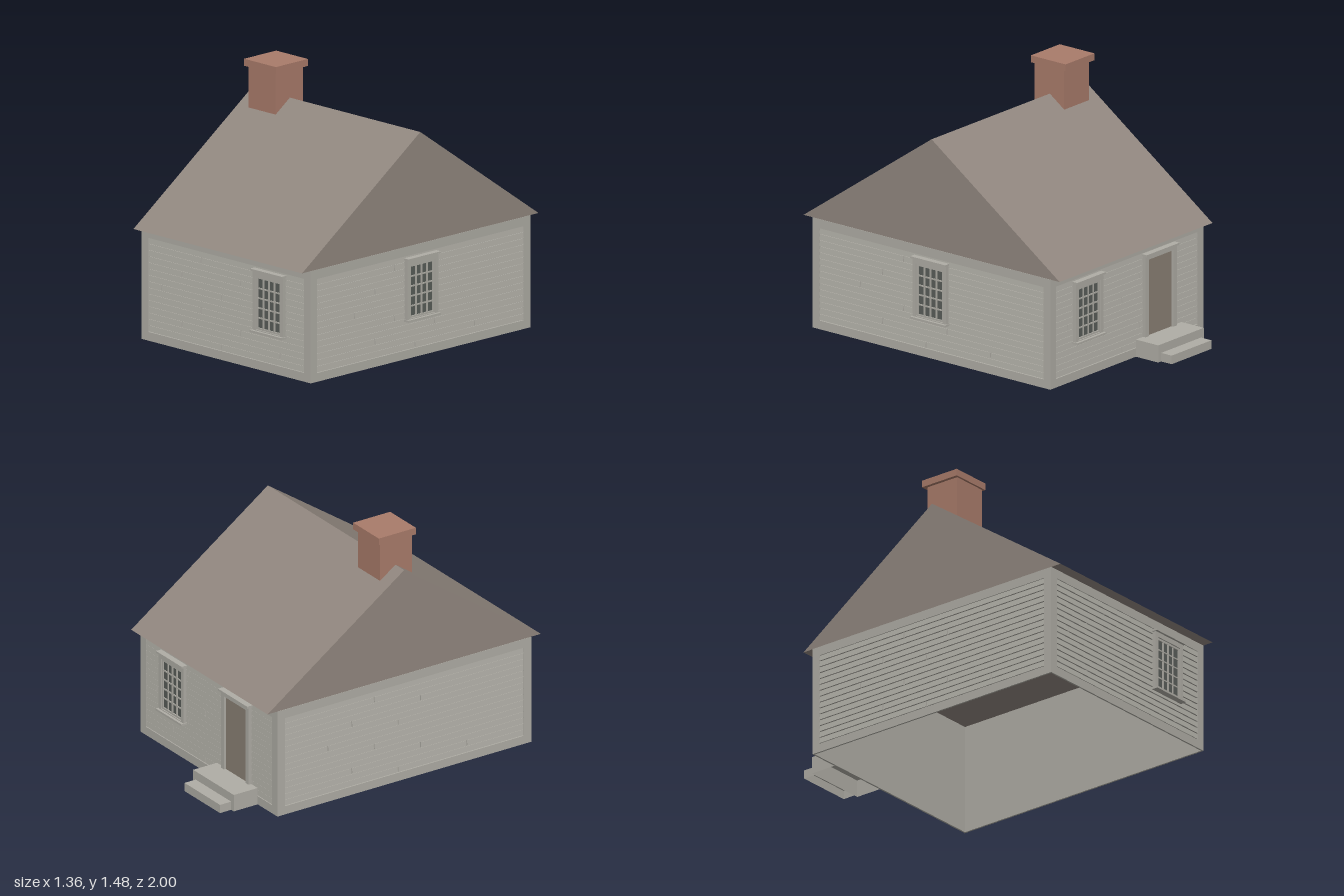
import * as THREE from 'three';

const mat = (name, color) => {
  const m = new THREE.MeshStandardMaterial({ color });
  m.name = name;
  return m;
};

export function createModel() {
  const paint = mat('greyPaint', 0xafada5);
  const shingle = mat('brownShingle', 0x91877f);
  const brick = mat('brick', 0xa97b6a);
  const glass = mat('darkGlass', 0x595d59);
  const doorWood = mat('doorWood', 0x8b8175);
  const paintInside = mat('greyPaintInside', 0xafada5);
  paintInside.side = THREE.DoubleSide;

  const house = new THREE.Group();
  house.name = 'house';
  const CX = -0.0125, CZ = 0.085, EAVE = 0.64;

  const add = (parent, name, geo, material) => {
    const mesh = new THREE.Mesh(geo, material);
    mesh.name = name;
    parent.add(mesh);
    return mesh;
  };
  // Box given by its limits on each axis
  const box = (parent, name, x0, x1, y0, y1, z0, z1, material) => {
    const geo = new THREE.BoxGeometry(x1 - x0, y1 - y0, z1 - z0);
    geo.translate((x0 + x1) / 2, (y0 + y1) / 2, (z0 + z1) / 2);
    return add(parent, name, geo, material);
  };
  // Leave out box sides by their group number (2 = top, 3 = bottom)
  const openBox = (mesh, sides) => {
    const idx = Array.from(mesh.geometry.index.array);
    mesh.geometry.setIndex(idx.filter((_, i) => !sides.includes(Math.floor(i / 6))));
    mesh.geometry.clearGroups();
  };
  const rect = (C, x0, x1, y0, y1) => new C([[x0, y0], [x1, y0], [x1, y1], [x0, y1]]
    .map(([x, y]) => new THREE.Vector2(x, y)));
  // Flat rectangular ring, o = outer limits, i = inner limits
  const ring = (o, i, depth) => {
    const s = rect(THREE.Shape, ...o);
    s.holes.push(rect(THREE.Path, ...i));
    return new THREE.ExtrudeGeometry(s, { depth, bevelEnabled: false });
  };
  // Extrude a [z, y] profile along x from x0 to x1
  const prism = (pts, x0, x1) => {
    const s = new THREE.Shape(pts.map(([z, y]) => new THREE.Vector2(-z, y)));
    return new THREE.ExtrudeGeometry(s, { depth: x1 - x0, bevelEnabled: false })
      .rotateY(Math.PI / 2).translate(x0, 0, 0);
  };

  // Hollow wall core, open below
  openBox(box(house, 'wallCore', -0.667, 0.642, 0, EAVE, -0.755, 0.925, paintInside), [2, 3]);

  // Roof with closed gables
  add(house, 'roof', prism([[1, EAVE], [CZ, 1.275], [-0.83, EAVE]], -0.675, 0.65), shingle);

  // One wall face: trim frame and overlapping boards, facing local +z
  const ROWS = 15, Y0 = 0.05, Y1 = 0.587, STEP = (Y1 - Y0) / ROWS;
  const joints = [-0.04, 0.42, -0.35, 0.11, null, -0.2, null, -0.51, -0.04, null, -0.35, 0.11, null, -0.2, null];
  const wall = (name, width, x, z, turn) => {
    const g = new THREE.Group();
    g.name = name;
    g.position.set(x, 0, z);
    g.rotation.y = turn;
    house.add(g);
    const h = width / 2, b = h - 0.05;
    add(g, 'trimFrame', ring([-h, h, 0, EAVE], [-b, b, Y0, Y1], 0.01).translate(0, 0, -0.01), paint);
    for (let i = 0; i < ROWS; i++) {
      const y = Y0 + i * STEP, j = joints[i];
      const profile = [[-0.01, y + 0.004], [-0.001, y + 0.004], [-0.005, y + STEP], [-0.01, y + STEP]];
      const spans = j === null ? [[-b, b]] : [[-b, j - 0.003], [j + 0.003, b]];
      for (const [x0, x1] of spans) add(g, 'clapboard', prism(profile, x0, x1), paint);
    }
    return g;
  };

  const windowAt = (parent, x) => {
    const g = new THREE.Group();
    g.name = 'window';
    g.position.x = x;
    parent.add(g);
    add(g, 'casing', ring([-0.12, 0.12, 0.225, 0.57], [-0.097, 0.097, 0.232, 0.537], 0.027).translate(0, 0, -0.009), paint);
    add(g, 'sash', ring([-0.097, 0.097, 0.232, 0.537], [-0.086, 0.086, 0.243, 0.524], 0.02).translate(0, 0, -0.009), paint);
    box(g, 'glass', -0.09, 0.09, 0.24, 0.53, -0.002, 0.004, glass);
    box(g, 'cap', -0.125, 0.125, 0.566, 0.577, -0.005, 0.032, paint);
    box(g, 'sill', -0.125, 0.125, 0.215, 0.227, -0.005, 0.034, paint);
    for (let i = 1; i < 4; i++) {
      const mx = -0.086 + i * 0.043;
      box(g, 'uprightBar', mx - 0.004, mx + 0.004, 0.243, 0.524, 0.003, 0.01, paint);
    }
    for (let i = 1; i < 5; i++) {
      const my = 0.243 + i * 0.0562;
      box(g, 'crossBar', -0.086, 0.086, my - 0.004, my + 0.004, 0.003, 0.009, paint);
    }
  };

  const front = wall('frontWall', 1.327, CX, 0.935, 0);
  const back = wall('backWall', 1.327, CX, -0.765, Math.PI);
  const left = wall('leftWall', 1.7, 0.652, CZ, Math.PI / 2);
  wall('rightWall', 1.7, -0.677, CZ, -Math.PI / 2);
  windowAt(front, 0.332 - CX);
  windowAt(back, -(0.332 - CX));
  windowAt(left, 0);

  // Back door
  const door = new THREE.Group();
  door.name = 'door';
  door.position.x = 0.275;
  back.add(door);
  add(door, 'doorCasing', ring([-0.135, 0.135, 0.06, 0.575], [-0.105, 0.105, 0.09, 0.545], 0.027).translate(0, 0, -0.009), paint);
  box(door, 'doorCap', -0.142, 0.142, 0.57, 0.582, -0.005, 0.032, paint);
  box(door, 'doorPanel', -0.107, 0.107, 0.088, 0.547, -0.003, 0.005, doorWood);

  // Steps, open underneath
  openBox(box(house, 'upperStep', -0.485, -0.09, 0, 0.1, -0.925, -0.765, paintInside), [3]);
  openBox(box(house, 'lowerStep', -0.46, -0.115, 0, 0.05, -1, -0.925, paintInside), [3]);

  // Chimney: hollow shaft reaching just below the ceiling, and a cap
  const shaft = ring([-0.59, -0.375, -0.195, 0.018], [-0.548, -0.417, -0.153, -0.024], 0.86);
  add(house, 'chimneyShaft', shaft.rotateX(-Math.PI / 2).translate(0, 0.58, 0), brick);
  box(house, 'chimneyCap', -0.61, -0.36, 1.435, 1.475, -0.04, 0.208, brick);

  return house;
}
